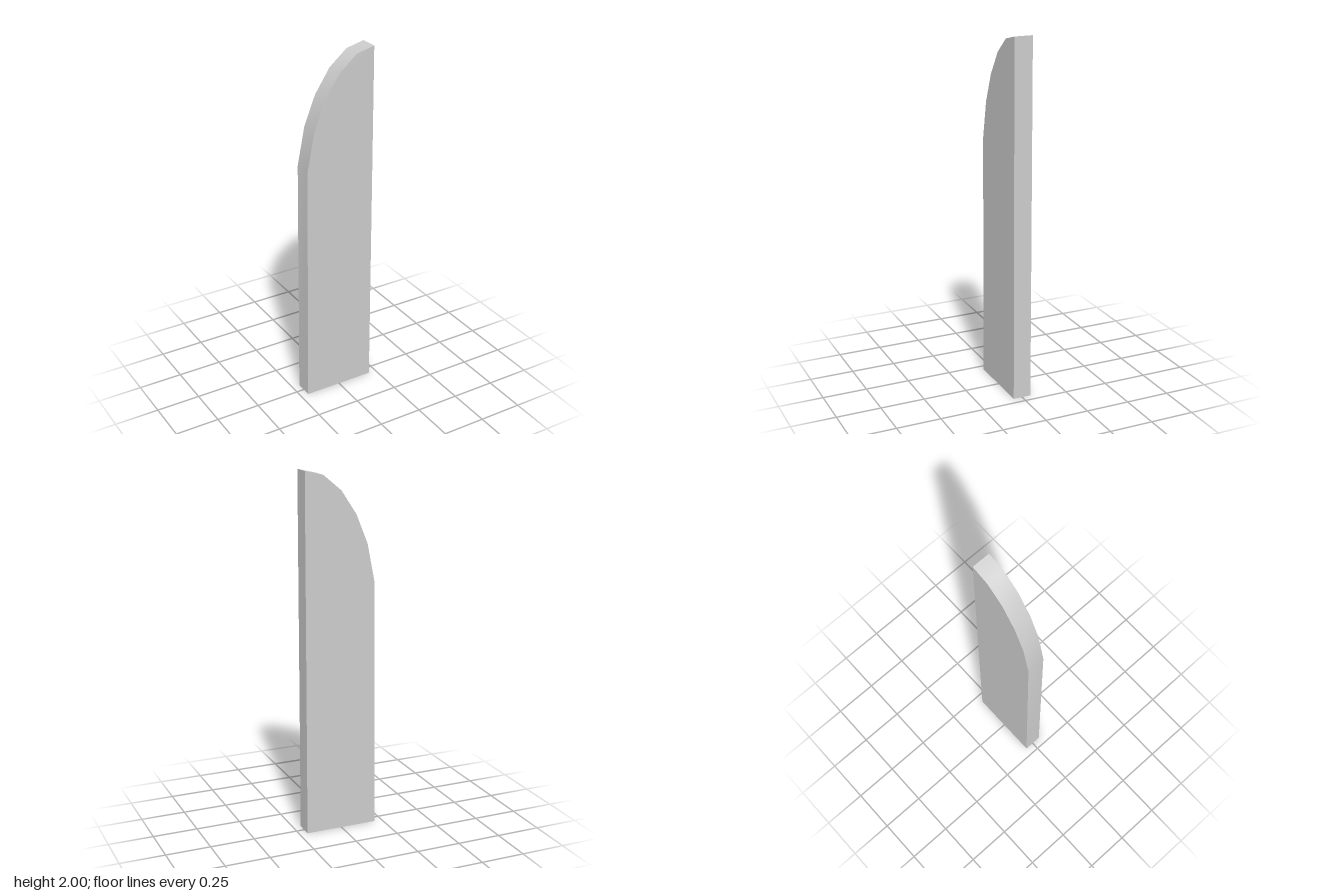
import * as THREE from 'three';
import { toCreasedNormals } from 'three/addons/utils/BufferGeometryUtils.js';

export function createModel() {
  const group = new THREE.Group();
  group.name = 'roundedPicket';
  const depth = 0.102;

  // Outline: straight right edge, slightly tapered left edge, arched shoulder
  const outline = [
    [-0.205, 0], [0.205, 0], [0.205, 2], [0.102, 1.975], [0.001, 1.89],
    [-0.085, 1.76], [-0.15, 1.6], [-0.193, 1.385],
  ].map(([x, y]) => new THREE.Vector2(x, y));

  const geometry = new THREE.ExtrudeGeometry(new THREE.Shape(outline), { depth, bevelEnabled: false });
  geometry.translate(0, 0, -depth / 2);

  // Smooth along the arch, sharp at the faces and corners
  const board = new THREE.Mesh(
    toCreasedNormals(geometry, 0.55),
    new THREE.MeshStandardMaterial({ color: 0xcccccc }),
  );
  board.name = 'board';
  group.add(board);
  return group;
}
